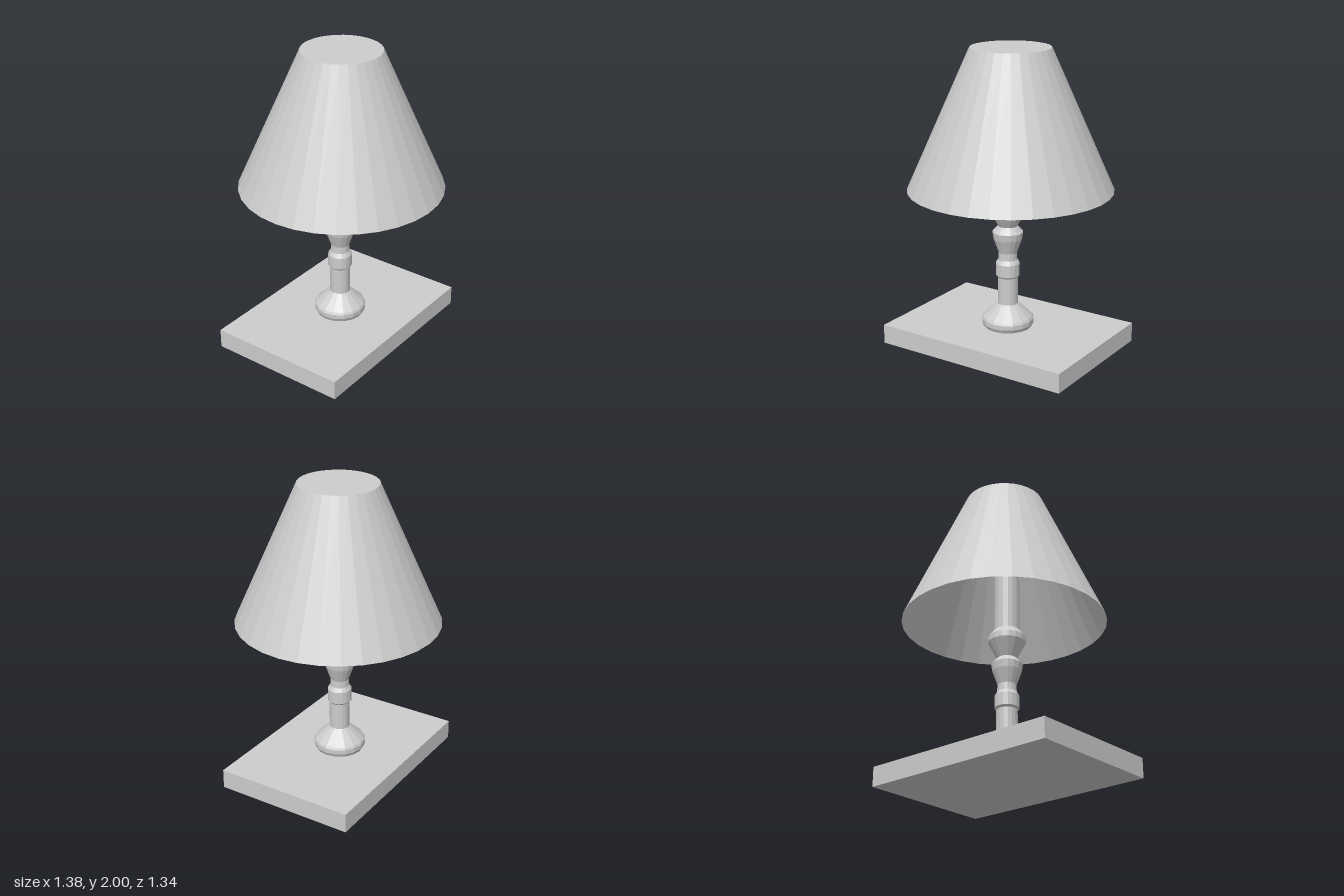
import * as THREE from 'three';

export function createModel() {
  const group = new THREE.Group();
  group.name = 'tableLamp';

  const grey = new THREE.MeshStandardMaterial({
    color: 0xcccccc, flatShading: true, side: THREE.DoubleSide,
  });
  grey.name = 'light grey';

  function add(name, geometry, x, y, z) {
    const mesh = new THREE.Mesh(geometry, grey);
    mesh.name = name;
    mesh.position.set(x, y, z);
    group.add(mesh);
  }

  // Rectangular plinth
  add('base', new THREE.BoxGeometry(1.37, 0.13, 0.95), -0.005, 0.065, 0);

  // Turned stem: foot, collar, two flared knobs and the tube inside the shade
  const profile = [
    [0, 0.13], [0.16, 0.13], [0.173, 0.155], [0.173, 0.185], [0.165, 0.2],
    [0.068, 0.29], [0.068, 0.475], [0.08, 0.487], [0.08, 0.57], [0.063, 0.597],
    [0.061, 0.645], [0.095, 0.74], [0.102, 0.787], [0.064, 0.828],
    [0.123, 0.94], [0.123, 0.978], [0.082, 1.027], [0.082, 1.99], [0, 1.99],
  ].map(([r, y]) => new THREE.Vector2(r, y));
  add('stem', new THREE.LatheGeometry(profile, 16), -0.005, 0, 0.005);

  // Conical shade, open below and closed on top
  add('shade', new THREE.CylinderGeometry(0.26, 0.67, 0.92, 32, 1, true), 0.015, 1.54, 0.002);
  add('shadeTop', new THREE.CircleGeometry(0.26, 32).rotateX(-Math.PI / 2), 0.015, 2, 0.002);

  return group;
}
